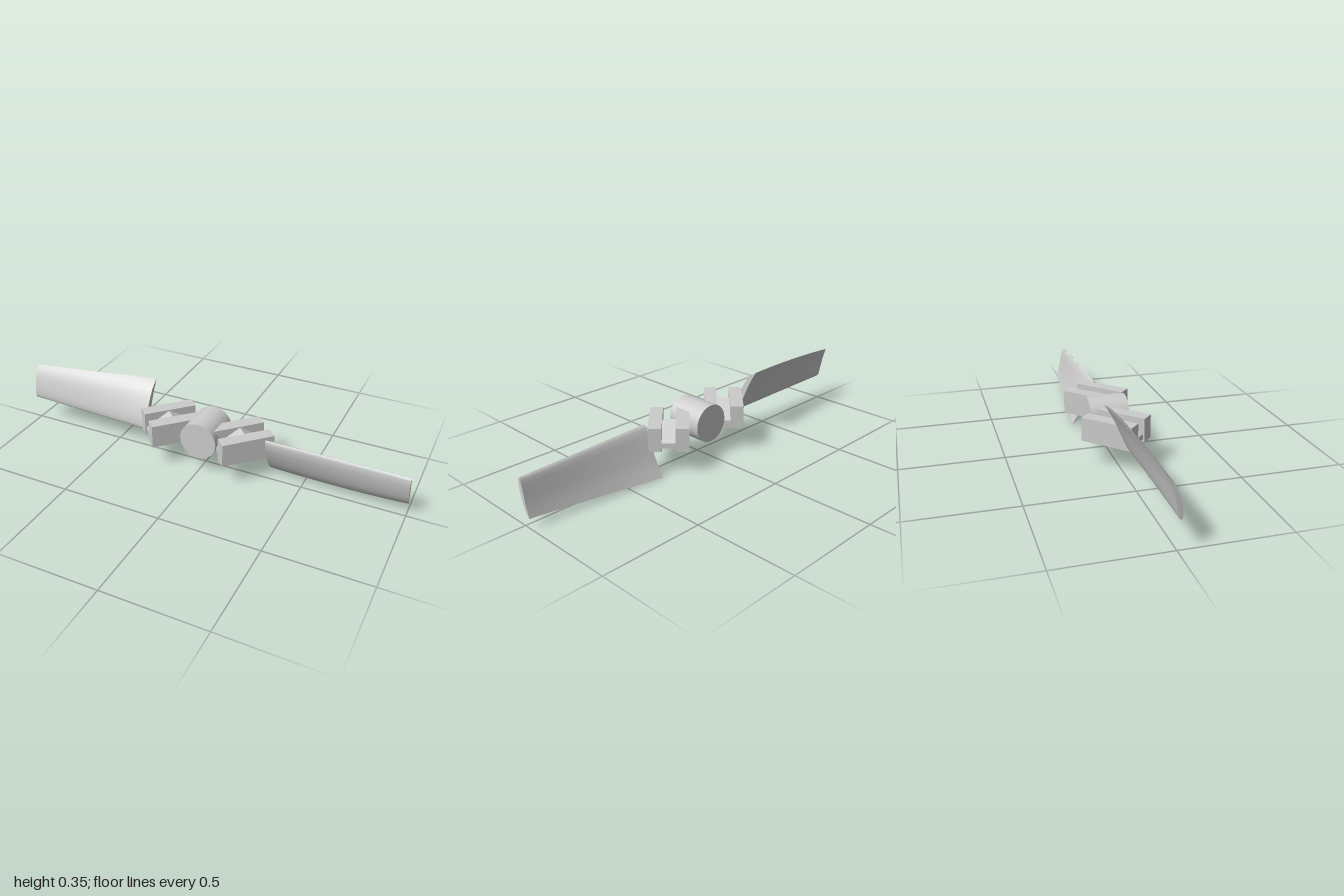
import * as THREE from 'three';
import { toCreasedNormals } from 'three/addons/utils/BufferGeometryUtils.js';

const AXIS_Y = 0.173; // height of the hub axis

// Blade section: [position along chord, offset towards the front], in chord lengths
const SECTION = [
  [0, 0], [0.015, 0.03], [0.05, 0.05], [0.12, 0.078], [0.22, 0.098], [0.35, 0.112], [0.5, 0.118],
  [0.65, 0.112], [0.78, 0.095], [0.9, 0.055], [1, 0],
  [0.8, 0.01], [0.6, 0.005], [0.4, -0.01], [0.2, -0.025], [0.08, -0.03], [0.02, -0.018],
];

// Twisted, tapering blade lofted along +x, relative to the hub axis
function bladeGeometry() {
  const rows = 16, n = SECTION.length, pos = [], idx = [];
  for (let j = 0; j <= rows; j++) {
    const t = j / rows, x = 0.32 + 0.68 * t;
    const leadZ = 0.028 - 0.014 * t, leadY = 0.231 - 0.014 * t;
    const tailZ = -0.035 - 0.059 * Math.pow(1 - t, 1.5), tailY = 0.045 * Math.pow(t, 1.25);
    const dz = tailZ - leadZ, dy = tailY - leadY;
    for (const [s, o] of SECTION) {
      pos.push(x, leadY + dy * s + dz * o - AXIS_Y, leadZ + dz * s - dy * o);
    }
  }
  for (let j = 0; j < rows; j++) {
    for (let i = 0; i < n; i++) {
      const k = (i + 1) % n, a = j * n + i, b = j * n + k;
      idx.push(a, b, b + n, a, b + n, a + n);
    }
  }
  // End caps
  const outline = SECTION.map(([s, o]) => new THREE.Vector2(s, o));
  for (const f of THREE.ShapeUtils.triangulateShape(outline, [])) {
    const [a, b, c] = f;
    const p = outline;
    const area = (p[b].x - p[a].x) * (p[c].y - p[a].y) - (p[b].y - p[a].y) * (p[c].x - p[a].x);
    const [q, r] = area < 0 ? [b, c] : [c, b]; // same direction as the outline
    const e = rows * n;
    idx.push(e + a, e + q, e + r, a, r, q);
  }
  const g = new THREE.BufferGeometry();
  g.setAttribute('position', new THREE.Float32BufferAttribute(pos, 3));
  g.setIndex(idx);
  return toCreasedNormals(g, 0.7);
}

export function createModel() {
  const model = new THREE.Group();
  model.name = 'propeller';
  const grey = new THREE.MeshStandardMaterial({ color: 0xcccccc });
  grey.name = 'light grey';

  const add = (parent, name, geometry, x = 0, y = 0, z = 0) => {
    const mesh = new THREE.Mesh(geometry, grey);
    mesh.name = name;
    mesh.position.set(x, y, z);
    parent.add(mesh);
    return mesh;
  };

  // Hub, lying along z
  add(model, 'hub', new THREE.CylinderGeometry(0.094, 0.094, 0.189, 32).rotateX(Math.PI / 2), 0, AXIS_Y, 0);

  // Blades, the second turned half a revolution about the hub axis
  const blade = bladeGeometry();
  add(model, 'leftBlade', blade, 0, AXIS_Y, 0);
  add(model, 'rightBlade', blade, 0, AXIS_Y, 0).rotation.z = Math.PI;

  // Peaked link held between the two cheeks of a bracket
  const profile = [[0.01, 0.13], [0.255, 0.13], [0.255, 0.155], [0.137, 0.228], [0.01, 0.155]];
  const link = new THREE.ExtrudeGeometry(
    new THREE.Shape(profile.map(([x, y]) => new THREE.Vector2(x, y))),
    { depth: 0.064, bevelEnabled: false });
  const cheek = new THREE.BoxGeometry(0.262, 0.116, 0.063);

  // Fork brackets set at 45 degrees on either side of the hub
  for (const [name, turn] of [['leftBracket', 0], ['rightBracket', Math.PI]]) {
    const bracket = new THREE.Group();
    bracket.name = name;
    bracket.rotation.y = Math.PI / 4 + turn;
    add(bracket, 'innerCheek', cheek, 0.131, 0.174, 0.068);
    add(bracket, 'outerCheek', cheek, 0.131, 0.174, 0.195);
    add(bracket, 'link', link, 0, 0, 0.0995);
    model.add(bracket);
  }
  return model;
}
